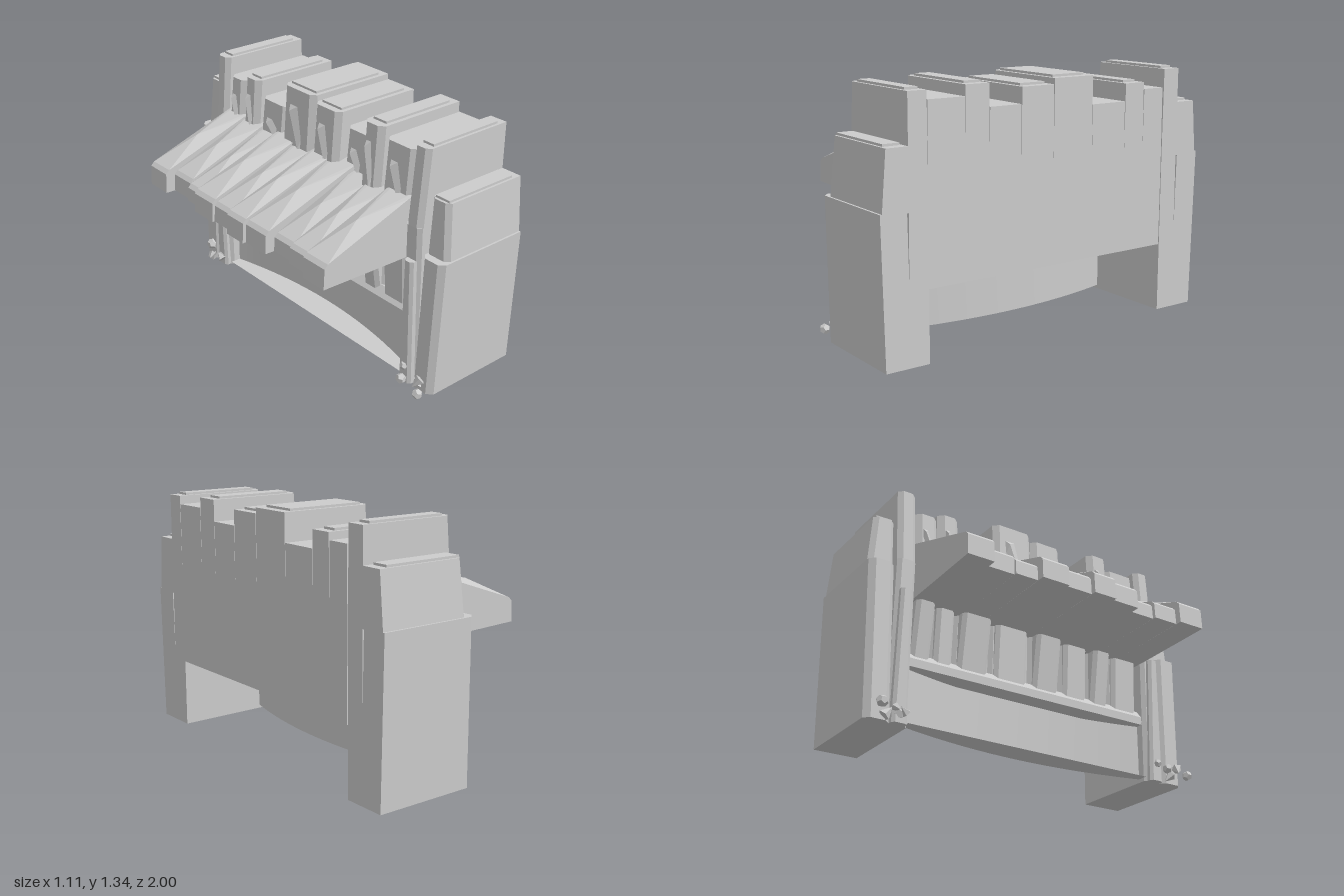
import * as THREE from 'three';
import { ConvexGeometry } from 'three/addons/geometries/ConvexGeometry.js';

const stone = new THREE.MeshStandardMaterial({ color: 0xcccccc, flatShading: true });
const thin = new THREE.MeshStandardMaterial({ color: 0xcccccc, side: THREE.DoubleSide });

export function createModel() {
  const root = new THREE.Group();
  const add = (name, geometry, material = stone) => {
    const mesh = new THREE.Mesh(geometry, material);
    mesh.name = name;
    root.add(mesh);
    return mesh;
  };
  const hull = (name, pts) => add(name, new ConvexGeometry(pts.map(p => new THREE.Vector3(...p))));
  const box = (name, x0, x1, y0, y1, z0, z1) => {
    const g = new THREE.BoxGeometry(x1 - x0, y1 - y0, z1 - z0);
    g.translate((x0 + x1) / 2, (y0 + y1) / 2, (z0 + z1) / 2);
    return add(name, g);
  };
  // Cross-section at height y, with the two front corners chamfered
  const ring = (y, x0, x1, z0, z1, c) => [
    [x1, y, z0], [x1, y, z1], [x0 + c, y, z1],
    [x0, y, z1 - c], [x0, y, z0 + c], [x0 + c, y, z0]];
  const block = (name, a, b, c = 0.025) => hull(name, [...ring(...a, c), ...ring(...b, c)]);
  const BACK = 0.55;

  // Stone columns of the wall: z0, z1, height, front x at top, thin cap
  const columns = [
    [0.53, 0.74, 1.265, 0.02, false], [0.39, 0.53, 1.32, 0.0, true],
    [0.2, 0.39, 1.205, 0.06, false], [0, 0.2, 1.288, 0.01, true],
    [-0.25, 0, 1.318, 0.01, true], [-0.47, -0.25, 1.17, 0.03, false],
    [-0.6, -0.47, 1.262, 0.01, true], [-0.735, -0.6, 1.225, 0.01, false]];
  const cap = (z0, z1, h) => box('cap', 0.06, 0.5, h - 0.002, h + 0.012, z0 + 0.025, z1 - 0.025);
  columns.forEach(([z0, z1, h, front, capped], i) => {
    block('wallColumn', [0.37, 0.05, BACK, z0, z1], [0.9, 0.04, BACK, z0, z1], 0.02);
    block('wallColumn', [0.9, front - 0.02, BACK, z0, z1], [h, front + 0.01, BACK, z0 + 0.003, z1 - 0.002], 0.03);
    // faceted boulder on the front of each column
    const m = (z0 + z1) / 2, w = (z1 - z0) * 0.4;
    hull('columnFace', [
      [front + 0.06, 0.95, m - w], [front + 0.06, 0.95, m + w], [front - 0.025, 1.0, m + w * 0.3],
      [front - 0.02, h - 0.12, m - w * 0.4], [front + 0.06, h - 0.03, m - w], [front + 0.06, h - 0.03, m + w]]);
    if (capped) cap(z0, z1, h);
    // rib below the canopy
    block('rib', [0.38, 0.03, 0.1, m - w, m + w], [0.72, i % 2 ? -0.02 : 0.01, 0.1, m - w, m + w], 0.02);
  });

  // End piers: broad lower block, stepped upper block, tall inner column
  const pier = (s, lowTop, midTop, tallTop) => {
    const span = (a, b) => (s > 0 ? [a, b] : [-b, -a]);
    block('pierBase', [0, -0.03, BACK, ...span(0.84, 0.98)], [lowTop, -0.015, BACK, ...span(0.855, 0.998)], 0.03);
    block('pierMiddle', [lowTop - 0.01, 0.03, BACK, ...span(0.84, 0.988)],
      [midTop, 0.045, BACK, ...span(0.845, 0.963)]);
    cap(...span(0.835, 0.975), midTop);
    block('pierColumn', [0, -0.01, BACK, ...span(0.74, 0.85)], [0.9, -0.02, BACK, ...span(0.74, 0.845)], 0.02);
    block('pierColumn', [0.9, -0.02, BACK, ...span(0.74, 0.845)], [tallTop, 0.015, BACK, ...span(0.743, 0.845)], 0.025);
    cap(...span(0.735, 0.855), tallTop);
    block('pilaster', [0, -0.04, 0.04, ...span(0.755, 0.84)], [0.72, -0.05, 0.04, ...span(0.77, 0.83)], 0.015);
  };
  pier(1, 0.76, 1.06, 1.31);
  pier(-1, 0.86, 1.14, 1.322);

  // Canopy of sloping slats: z0, z1, tip x, drop of the upper surface
  const slats = [
    [-0.74, -0.59, -0.53, 0], [-0.59, -0.44, -0.475, 0.015], [-0.44, -0.31, -0.49, 0.035],
    [-0.31, -0.15, -0.535, 0.005], [-0.15, 0, -0.52, 0.02], [0, 0.135, -0.55, 0],
    [0.135, 0.295, -0.53, 0.01], [0.295, 0.44, -0.475, 0.035], [0.44, 0.585, -0.495, 0.025],
    [0.585, 0.74, -0.53, 0]];
  slats.forEach(([z0, z1, tip, drop]) => {
    const pts = [[tip * 0.5, 0.965 - drop, (z0 + z1) / 2]];
    for (const z of [z0, z1]) {
      pts.push([0.1, 1.045 - drop, z], [0, 1.02 - drop, z], [tip + 0.02, 0.845 - drop, z],
        [tip, 0.825 - drop, z], [tip - 0.005, 0.715, z], [-0.04, 0.7, z], [0.1, 0.7, z]);
    }
    hull('canopySlat', pts);
  });

  // Niche between the piers: lintel, bowed wall and floor
  hull('lintel', [-0.745, 0.745].flatMap(z => [
    [0.01, 0.33, z], [0.01, 0.375, z], [0.05, 0.42, z], [0.12, 0.4, z], [0.12, 0.33, z]]));
  const bow = t => 0.05 + 0.1 * (1 - t * t);
  const wall = new THREE.PlaneGeometry(1.48, 0.36, 24, 1);
  const p = wall.attributes.position;
  for (let i = 0; i < p.count; i++) {
    const z = p.getX(i);
    p.setXYZ(i, bow(z / 0.74), p.getY(i) + 0.2, z);
  }
  wall.computeVertexNormals();
  add('nicheWall', wall, thin);
  const outline = new THREE.Shape();
  outline.moveTo(-0.01, 0.74);
  outline.lineTo(-0.01, -0.74);
  for (let i = 0; i <= 24; i++) outline.lineTo(bow(i / 12 - 1), (i / 12 - 1) * 0.74);
  const floor = new THREE.ShapeGeometry(outline);
  floor.rotateX(Math.PI / 2);
  floor.translate(0, 0.02, 0);
  add('nicheFloor', floor, thin);

  // Loose stones at the feet of the piers: x, y, z, size
  const stones = [
    [-0.1, 0.04, 0.96, 0.028], [-0.07, 0.07, 0.92, 0.03], [-0.09, 0.06, 0.83, 0.028],
    [-0.03, 0.03, 0.88, 0.03], [-0.04, 0.1, 0.8, 0.024], [-0.09, 0.05, -0.84, 0.022],
    [-0.04, 0.09, -0.9, 0.032], [-0.05, 0.04, -0.87, 0.032], [-0.02, 0.05, -0.8, 0.035],
    [-0.06, 0.06, -0.79, 0.025]];
  stones.forEach(([x, y, z, r], i) => {
    const g = new THREE.DodecahedronGeometry(r, 0);
    const rock = add('looseStone', i % 2 ? new THREE.ConeGeometry(r, r * 2, 5) : g);
    rock.position.set(x, y, z);
    rock.rotation.set(i * 1.3, i * 0.7, i * 2.1);
  });
  return root;
}
